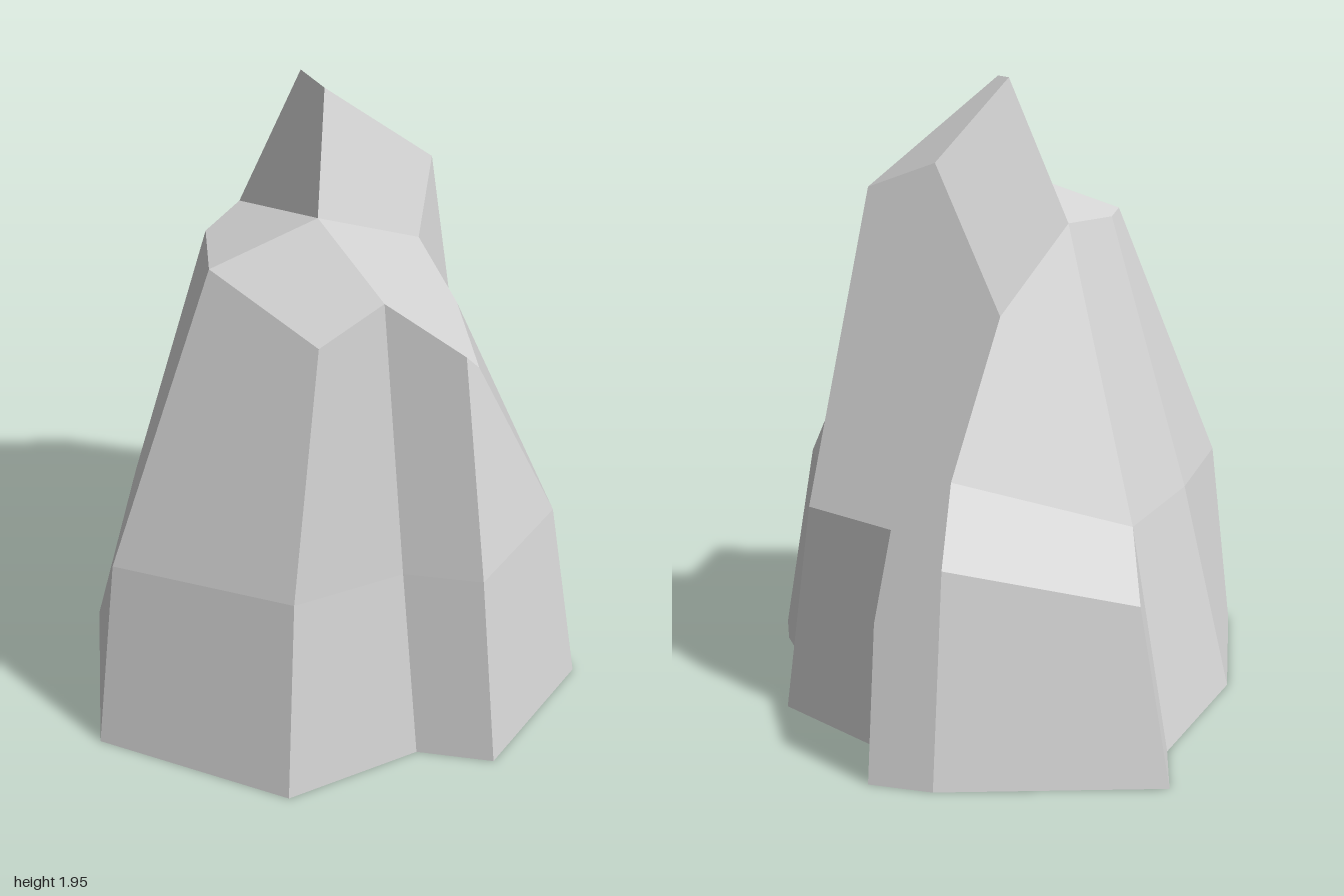
import * as THREE from 'three';

// Cross-sections of the rock, listed from the left flank round the front
const footRing = [
  [-0.78, 0, 0], [-0.43, 0, 0.47], [0.11, 0, 0.865], [0.70, 0, 0.59], [0.81, 0, 0.15],
  [1, 0, 0], [0.87, 0, -0.53], [0.70, 0, -0.595], [0.28, 0, -0.675], [0.11, 0, -0.84],
  [-0.34, 0, -0.73], [-0.55, 0, -0.865], [-0.69, 0, -0.73], [-1, 0, -0.14],
];
const waistRing = [
  [-0.58, 0.64, 0], [-0.27, 0.64, 0.40], [0.11, 0.64, 0.78], [0.62, 0.64, 0.50], [0.72, 0.64, 0.15],
  [0.91, 0.64, 0], [0.79, 0.64, -0.45], [0.60, 0.64, -0.51], [0.26, 0.64, -0.59], [0.11, 0.64, -0.75],
  [-0.25, 0.64, -0.64], [-0.49, 0.45, -0.81], [-0.60, 0.61, -0.65], [-0.84, 0.49, -0.14],
];
const crownRing = [
  [-0.20, 1.51, 0], [-0.10, 1.51, 0.22], [0.11, 1.51, 0.38], [0.53, 1.40, 0.33], [0.605, 1.51, 0.15],
  [0.79, 1.36, 0], [0.62, 1.16, -0.25], [0.46, 1.30, -0.31], [0.23, 1.42, -0.37], [0.13, 1.62, -0.52],
  [-0.05, 1.70, -0.38], [-0.20, 1.24, -0.24],
];
const ledgeTop = [-0.39, 0.80, -0.51];
const saddle = [0.25, 1.63, 0.08];
const peakLeft = [-0.06, 1.95, -0.13];
const peakRight = [0.10, 1.95, -0.08];

// Average normal of a polygon that may be slightly bent
function faceNormal(polygon) {
  const v = polygon.map((p) => new THREE.Vector3(...p));
  const normal = new THREE.Vector3();
  for (let i = 1; i < v.length - 1; i++) {
    const a = v[i].clone().sub(v[0]);
    normal.add(a.cross(v[i + 1].clone().sub(v[0])));
  }
  return normal.normalize().toArray();
}

// Cuts each polygon as a fan and shades it evenly as one facet
function facets(polygons) {
  const points = [];
  const normals = [];
  for (const p of polygons) {
    const n = faceNormal(p);
    for (let i = 1; i < p.length - 1; i++) {
      points.push(...p[0], ...p[i], ...p[i + 1]);
      normals.push(...n, ...n, ...n);
    }
  }
  const geometry = new THREE.BufferGeometry();
  geometry.setAttribute('position', new THREE.Float32BufferAttribute(points, 3));
  geometry.setAttribute('normal', new THREE.Float32BufferAttribute(normals, 3));
  return geometry;
}

// Side walls between two rings; closed rings wrap round
function walls(lower, upper, closed) {
  const n = lower.length;
  const quads = [];
  for (let i = 0; i < (closed ? n : n - 1); i++) {
    const j = (i + 1) % n;
    quads.push([lower[i], lower[j], upper[j], upper[i]]);
  }
  return quads;
}

export function createModel() {
  const group = new THREE.Group();
  group.name = 'rock';
  const stone = new THREE.MeshStandardMaterial({ color: 0xd4d4d4 });
  stone.name = 'light grey stone';
  const add = (name, polygons) => {
    const mesh = new THREE.Mesh(facets(polygons), stone);
    mesh.name = name;
    group.add(mesh);
  };
  const w = waistRing;
  const c = crownRing;

  // Flared foot
  add('foot', walls(footRing, waistRing, true));

  // Flat underside
  const outline = footRing.map(([x, , z]) => new THREE.Vector2(x, -z));
  const underside = THREE.ShapeUtils.triangulateShape(outline, [])
    .map(([a, b, d]) => [footRing[a], footRing[d], footRing[b]]);
  add('underside', underside);

  // Tapering upper walls, then the broad back and left faces above the ledge
  add('upperWalls', walls(w.slice(0, 10), c.slice(0, 10), false));
  add('backFace', [[c[10], c[9], w[9], w[10], ledgeTop, c[11]]]);
  add('leftFace', [[ledgeTop, w[0], c[0], c[11]]]);

  // Top of the low rear ledge
  add('ledge', [
    [w[10], w[11], w[12], ledgeTop],
    [ledgeTop, w[12], w[13], w[0]],
  ]);

  // Sloping shoulders in front of and beside the peak
  add('shoulders', [
    [c[0], c[1], c[2], saddle],
    [saddle, c[2], c[3], c[4]],
    [c[7], c[8], saddle, c[4], c[5], c[6]],
  ]);

  // Wedge-shaped peak
  add('peak', [
    [c[0], saddle, peakRight, peakLeft],
    [saddle, c[8], c[9], peakRight],
    [peakRight, c[9], c[10], peakLeft],
    [peakLeft, c[10], c[11], c[0]],
  ]);
  return group;
}
